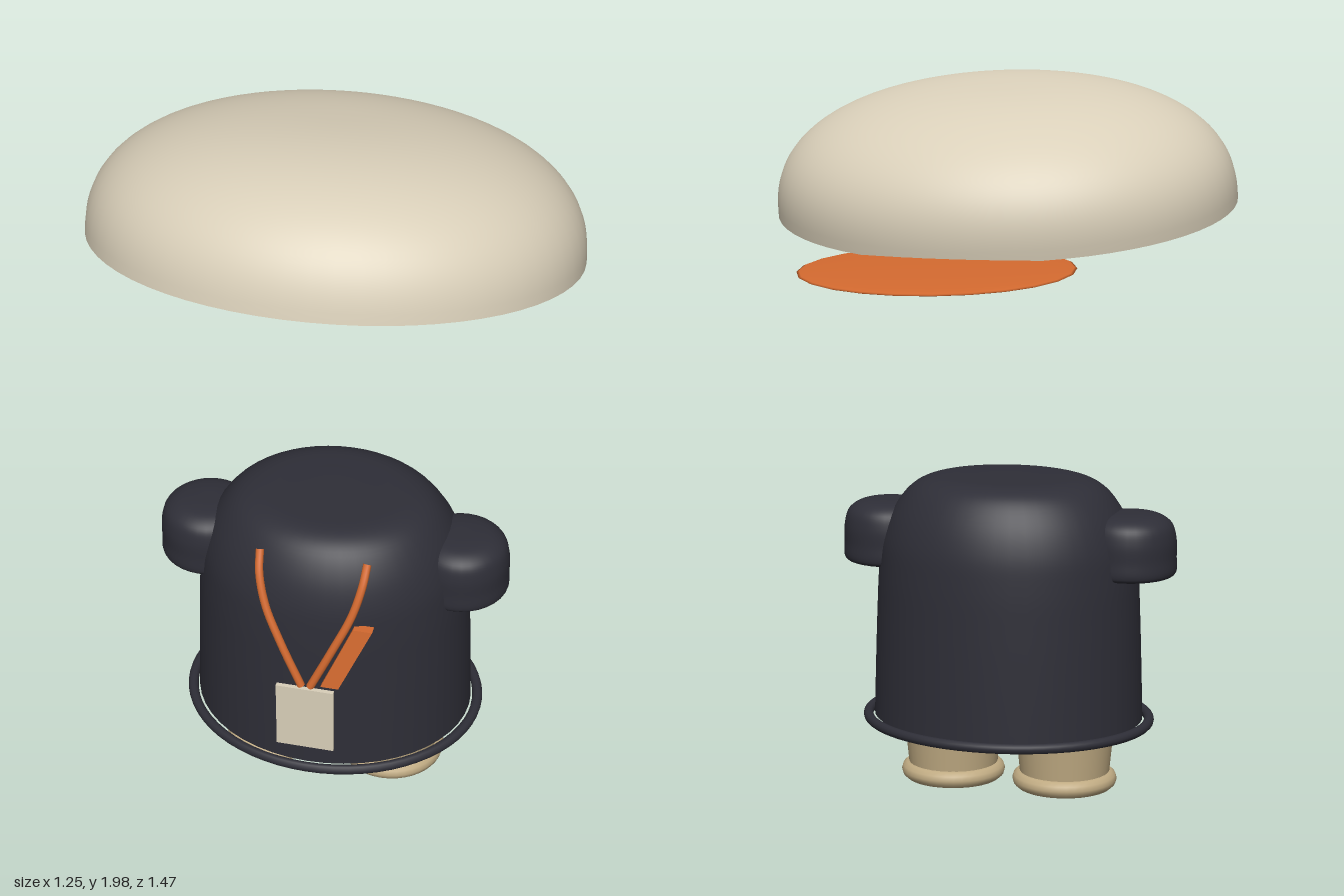
import * as THREE from 'three';

export function createModel() {
  const model = new THREE.Group();
  const mat = (name, color, side = THREE.FrontSide) => {
    const m = new THREE.MeshStandardMaterial({ color, side });
    m.name = name;
    return m;
  };
  const cream = mat('cream', 0xd9cfb9, THREE.DoubleSide);
  const dark = mat('charcoal', 0x2e2e37, THREE.DoubleSide);
  const tan = mat('tan', 0xbfaa82);
  const orange = mat('orange', 0xd2692f);

  const add = (name, geometry, material, x = 0, y = 0, z = 0) => {
    const mesh = new THREE.Mesh(geometry, material);
    mesh.name = name;
    mesh.position.set(x, y, z);
    model.add(mesh);
    return mesh;
  };
  // smooth lathe through a few [radius, height] points
  const lathe = (points, segments = 48) => {
    const curve = new THREE.CatmullRomCurve3(points.map(([r, y]) => new THREE.Vector3(r, y, 0)), false, 'centripetal');
    return new THREE.LatheGeometry(curve.getPoints(48).map(p => new THREE.Vector2(Math.max(0, p.x), p.y)), segments);
  };
  const bodyZ = 0.22;

  // Coat: open at the hem, oval in plan
  const coat = lathe([[0.379, 0.205], [0.375, 0.35], [0.37, 0.5], [0.364, 0.62], [0.352, 0.71],
    [0.32, 0.79], [0.27, 0.852], [0.215, 0.878], [0.12, 0.884], [0, 0.885]]);
  add('coat', coat.scale(1, 1, 0.855), dark, 0, 0, bodyZ);

  // Hem ring, standing just clear of the coat
  const hem = new THREE.TorusGeometry(0.397, 0.014, 12, 64).rotateX(Math.PI / 2);
  add('hemRing', hem.scale(1, 1, 0.86), dark, 0, 0.2, bodyZ);

  // Belly showing under the coat
  add('belly', new THREE.SphereGeometry(1, 40, 20).scale(0.3, 0.14, 0.26), tan, 0, 0.305, bodyZ);

  for (const [side, label] of [[1, 'left'], [-1, 'right']]) {
    // Leg with rolled foot cuff
    add(label + 'Leg', new THREE.CylinderGeometry(0.145, 0.122, 0.23, 32), tan, side * 0.163, 0.135, 0.225);
    const cuff = new THREE.TorusGeometry(0.118, 0.028, 12, 40).rotateX(Math.PI / 2);
    add(label + 'FootCuff', cuff.scale(1, 0.9, 1), tan, side * 0.163, 0.031, 0.225);

    // Stub sleeve with domed top and flat underside
    const sleeve = lathe([[0, 0.624], [0.06, 0.624], [0.118, 0.626], [0.129, 0.636], [0.13, 0.68], [0.129, 0.73],
      [0.118, 0.768], [0.09, 0.79], [0.045, 0.799], [0, 0.8]], 32);
    add(label + 'Sleeve', sleeve, dark, side * 0.345, 0, bodyZ);

    // Lanyard cord lying on the chest
    const cord = new THREE.CatmullRomCurve3([[0.143, 0.832, 0.45], [0.137, 0.78, 0.484], [0.115, 0.7, 0.513],
      [0.07, 0.6, 0.536], [0.012, 0.475, 0.55]].map(([x, y, z]) => new THREE.Vector3(side * x, y, z)));
    add(label + 'Cord', new THREE.TubeGeometry(cord, 32, 0.011, 10), orange);
  }

  // Slanted strap end beside the cords
  const strap = new THREE.Shape([[0.04, 0.48], [0.088, 0.48], [0.173, 0.668], [0.122, 0.668]]
    .map(([x, y]) => new THREE.Vector2(x, y)));
  const strapGeo = new THREE.ExtrudeGeometry(strap, { depth: 0.025, bevelEnabled: false });
  const pos = strapGeo.attributes.position;
  for (let i = 0; i < pos.count; i++) pos.setZ(i, pos.getZ(i) + 0.525 - (pos.getY(i) - 0.48) * 0.13);
  strapGeo.computeVertexNormals();
  add('strap', strapGeo, orange);

  // Badge card
  add('badge', new THREE.BoxGeometry(0.155, 0.2, 0.012), cream, 0, 0.375, 0.559);

  // Hollow cap: oval rounded dome tipped up at the front
  const dome = [];
  for (let i = 0; i <= 32; i++) {
    const a = (i / 32) * Math.PI / 2, e = 2 / 2.45;
    dome.push(new THREE.Vector2(i === 32 ? 0 : Math.cos(a) ** e, 0.326 * Math.sin(a) ** e));
  }
  const cap = add('capDome', new THREE.LatheGeometry(dome, 64).scale(0.627, 1, 0.546), cream, 0, 1.638, 0.197);
  cap.rotation.x = -0.199;

  // Thin round brim at the back of the cap
  const brim = add('capBrim', new THREE.SphereGeometry(1, 24, 16).scale(0.355, 0.014, 0.323), orange, 0, 1.52, -0.412);
  brim.rotation.x = -0.082;

  return model;
}
